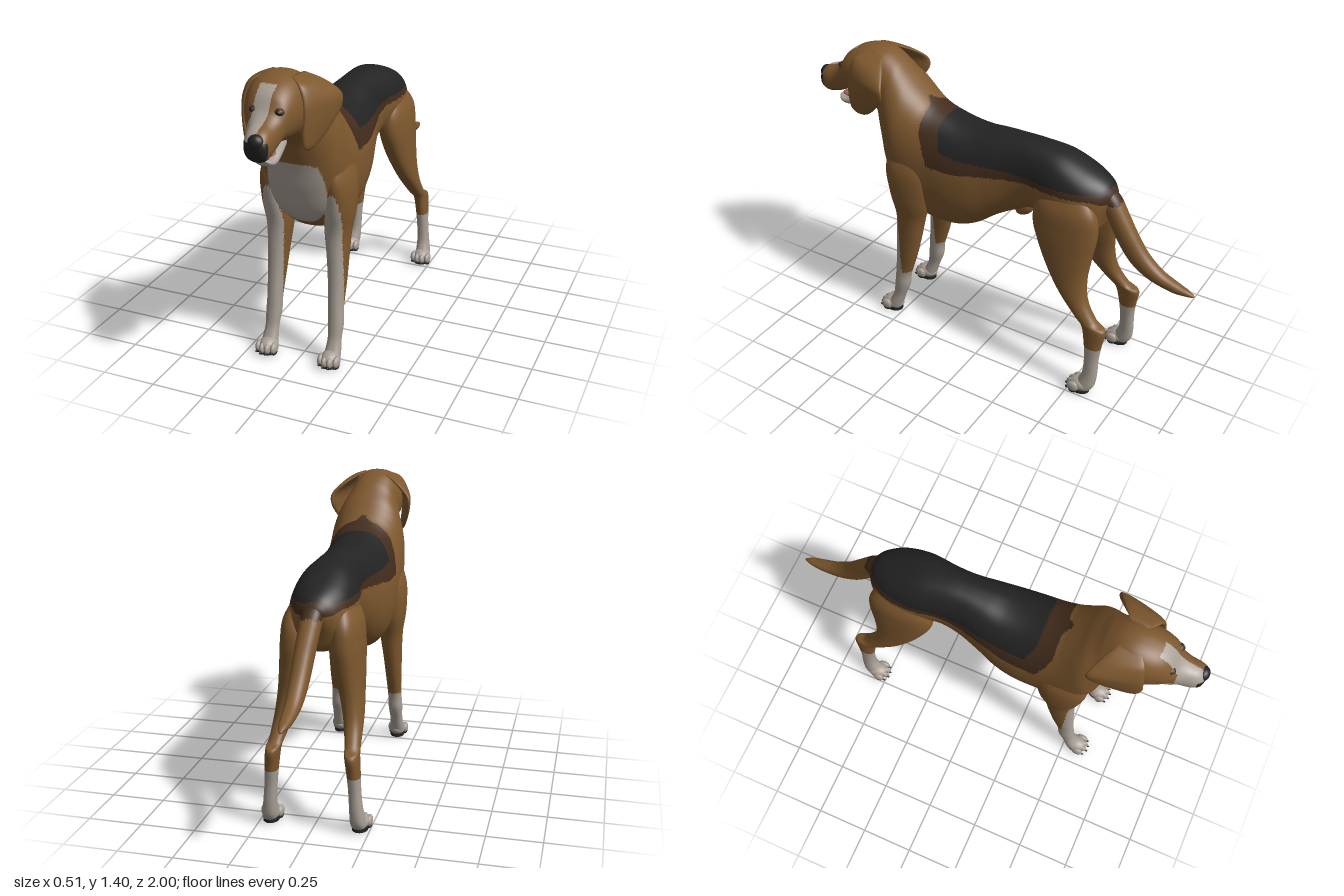
import * as THREE from 'three';

const mat = (name, color) => {
  const m = new THREE.MeshStandardMaterial({ color, side: THREE.DoubleSide });
  m.name = name;
  return m;
};
const tan = mat('tan coat', 0x7e582e);
const white = mat('white fur', 0xa89f95);
const black = mat('black saddle', 0x232323);
const dark = mat('dark brown', 0x422c1d);
const pink = mat('tongue pink', 0xa8605c);
const PALETTE = [tan, white, black, dark];
const TAN = 0, WHITE = 1, BLACK = 2, DARK = 3;

// Smooth interpolation through a list of equally long rows
function spline(rows, t) {
  const n = rows.length - 1, f = t * n;
  const i = Math.min(Math.floor(f), n - 1), u = f - i;
  const at = k => rows[Math.max(0, Math.min(n, k))];
  const [a, b, c, d] = [at(i - 1), at(i), at(i + 1), at(i + 2)];
  return b.map((q, k) => q + 0.5 * u * (c[k] - a[k] + u * (2 * a[k] - 5 * q + 4 * c[k] - d[k]
    + u * (3 * (q - c[k]) + d[k] - a[k]))));
}

// Loft: each section is [z0, y0, z1, y1, halfWidth, x0, x1], two opposite edge points and a width.
// rule(x, y, z) gives the colour index of each face.
function loft(name, sections, rows, cols, rule, side = 1) {
  const full = sections.map(([z0, y0, z1, y1, w, x0 = 0, x1 = x0]) => [z0, y0, z1, y1, w, x0 * side, x1 * side]);
  const pos = [], bow = (v, e) => Math.sign(v) * Math.abs(v) ** e;
  for (let r = 0; r <= rows + 2; r++) {
    const t = Math.max(0, Math.min(1, (r - 1) / rows));
    const cap = r === 0 || r === rows + 2 ? 0 : 1;
    const [z0, y0, z1, y1, w, x0, x1] = spline(full, t);
    for (let c = 0; c < cols; c++) {
      const a = c / cols * Math.PI * 2;
      const s = cap * bow(Math.sin(a), 0.92) / 2, k = cap * Math.max(w, 0.001) * bow(Math.cos(a), 0.85);
      pos.push((x0 + x1) / 2 + (x0 - x1) * s + k, (y0 + y1) / 2 + (y0 - y1) * s, (z0 + z1) / 2 + (z0 - z1) * s);
    }
  }
  const P = i => new THREE.Vector3().fromArray(pos, i * 3);
  const faces = [];
  let volume = 0;
  for (let r = 0; r < rows + 2; r++) for (let c = 0; c < cols; c++) {
    const a = r * cols + c, b = r * cols + (c + 1) % cols;
    const tris = [];
    if (r > 0) tris.push([a, b, b + cols]);
    if (r < rows + 1) tris.push([a, b + cols, a + cols]);
    for (const f of tris) {
      const [p, q, s] = f.map(P);
      volume += p.dot(q.clone().cross(s));
      const m = p.add(q).add(s).divideScalar(3);
      faces.push([rule(m.x, m.y, m.z), f]);
    }
  }
  const geo = new THREE.BufferGeometry();
  geo.setAttribute('position', new THREE.Float32BufferAttribute(pos, 3));
  const index = [];
  PALETTE.forEach((_, m) => {
    const start = index.length;
    for (const [k, f] of faces) if (k === m) index.push(...(volume < 0 ? [f[0], f[2], f[1]] : f));
    if (index.length > start) geo.addGroup(start, index.length - start, m);
  });
  geo.setIndex(index);
  geo.computeVertexNormals();
  const mesh = new THREE.Mesh(geo, PALETTE);
  mesh.name = name;
  return mesh;
}

function ball(name, material, x, y, z, rx, ry, rz) {
  const m = new THREE.Mesh(new THREE.SphereGeometry(1, 20, 14), material);
  m.position.set(x, y, z);
  m.scale.set(rx, ry, rz);
  m.name = name;
  return m;
}

// Rear edge of the white bib and leg fronts
const bibEdge = y => y > 0.64 ? 0.485 + (y - 0.64) * 0.31 : 0.475 + (y - 0.3) * 0.03;

function bodyColour(x, y, z) {
  // Face: nose end, lips and blaze
  if (z > 0.7 && y > 1.1) {
    if ((z > 0.962 && y < 1.2) || (z > 0.9 && y < 1.128)) return BLACK;
    if (z > 0.73 && y > 1.2 && Math.abs(x + 0.006) < 0.036 && y < 1.372) return WHITE;
    if (z > 0.87 && y > 1.14 && x < 0.0) return WHITE;
    return TAN;
  }
  // Chest bib
  if (z > bibEdge(y) && y > 0.64 && y < 0.97 - 0.07 * (x / 0.18) ** 4) return WHITE;
  // Saddle with a darker border
  const dip = Math.max(0, z - 0.15);
  if (z < 0.275 - Math.max(0, 1.12 - y) * 0.4 && z > -0.565 && y > 1.015 + dip * 0.1) return BLACK;
  const peak = Math.max(0, 0.04 - Math.abs(x)) * 0.9;
  const low = z > 0 ? 0.965 - 0.02 * Math.min(1, z / 0.2) : 0.965 + 0.02 * Math.min(1, -z / 0.2) - Math.max(0, -z - 0.5) * 0.3;
  if (z < 0.36 + peak - Math.max(0, 1.1 - y) * 0.4 && y > low) return DARK;
  return TAN;
}

const BODY = [
  [-0.59, 0.975, -0.56, 0.91, 0.03], [-0.575, 1.01, -0.545, 0.86, 0.065], [-0.535, 1.05, -0.52, 0.80, 0.105],
  [-0.45, 1.092, -0.45, 0.78, 0.14], [-0.33, 1.135, -0.33, 0.79, 0.145], [-0.2, 1.15, -0.2, 0.81, 0.125],
  [-0.1, 1.15, -0.1, 0.765, 0.128], [0, 1.143, 0, 0.705, 0.15], [0.1, 1.132, 0.1, 0.63, 0.175],
  [0.2, 1.14, 0.2, 0.59, 0.187], [0.3, 1.165, 0.32, 0.583, 0.188], [0.36, 1.19, 0.43, 0.612, 0.19],
  [0.4, 1.22, 0.53, 0.70, 0.19], [0.44, 1.255, 0.575, 0.82, 0.185], [0.47, 1.285, 0.597, 0.93, 0.17],
  [0.51, 1.32, 0.615, 1.0, 0.15], [0.55, 1.355, 0.64, 1.07, 0.13, -0.005], [0.61, 1.388, 0.69, 1.11, 0.125, -0.01],
  [0.68, 1.397, 0.73, 1.12, 0.128, -0.01], [0.76, 1.38, 0.77, 1.13, 0.118, -0.005], [0.82, 1.343, 0.82, 1.14, 0.098, 0.003],
  [0.86, 1.285, 0.85, 1.135, 0.078, 0.01], [0.9, 1.257, 0.89, 1.118, 0.066, 0.016], [0.95, 1.24, 0.94, 1.108, 0.058, 0.022],
  [0.98, 1.215, 0.972, 1.12, 0.046, 0.026], [0.99, 1.185, 0.982, 1.14, 0.025, 0.028],
];
const EAR = [
  [0.70, 1.385, 0.60, 1.38, 0.012, 0.06, 0.07], [0.735, 1.36, 0.56, 1.345, 0.022, 0.105, 0.13],
  [0.75, 1.30, 0.525, 1.29, 0.02, 0.13, 0.19], [0.758, 1.23, 0.525, 1.235, 0.018, 0.135, 0.195],
  [0.762, 1.16, 0.575, 1.17, 0.017, 0.13, 0.175], [0.75, 1.11, 0.63, 1.118, 0.014, 0.13, 0.15],
  [0.72, 1.09, 0.67, 1.095, 0.005, 0.132, 0.14],
];
const FRONT_LEG = [
  [0.52, 0.98, 0.37, 0.98, 0.025, 0.14], [0.545, 0.87, 0.31, 0.87, 0.058, 0.15], [0.528, 0.74, 0.32, 0.72, 0.064, 0.148],
  [0.505, 0.62, 0.355, 0.60, 0.056, 0.14], [0.508, 0.5, 0.38, 0.48, 0.046, 0.144], [0.515, 0.38, 0.41, 0.36, 0.039, 0.148],
  [0.525, 0.27, 0.445, 0.25, 0.034, 0.15], [0.533, 0.19, 0.455, 0.18, 0.035, 0.153], [0.543, 0.12, 0.482, 0.11, 0.031, 0.155],
  [0.565, 0.07, 0.503, 0.05, 0.036, 0.156], [0.59, 0.045, 0.513, 0.02, 0.038, 0.156],
];
const HIND_LEG = [
  [-0.31, 1.01, -0.47, 1.01, 0.03, 0.09], [-0.25, 0.92, -0.54, 0.92, 0.06, 0.108], [-0.238, 0.82, -0.555, 0.82, 0.072, 0.11],
  [-0.278, 0.71, -0.54, 0.70, 0.066, 0.122], [-0.338, 0.6, -0.53, 0.585, 0.053, 0.14], [-0.405, 0.51, -0.548, 0.48, 0.044, 0.156],
  [-0.488, 0.42, -0.605, 0.395, 0.035, 0.169], [-0.535, 0.37, -0.655, 0.365, 0.032, 0.176], [-0.555, 0.29, -0.645, 0.29, 0.03, 0.183],
  [-0.565, 0.2, -0.635, 0.2, 0.028, 0.189], [-0.563, 0.12, -0.634, 0.11, 0.03, 0.195], [-0.545, 0.07, -0.627, 0.05, 0.035, 0.2],
  [-0.53, 0.045, -0.61, 0.02, 0.037, 0.203],
];
const TAIL = [
  [-0.53, 1.035, -0.48, 0.95, 0.045, 0.0], [-0.60, 0.985, -0.535, 0.92, 0.048, 0.005], [-0.655, 0.905, -0.575, 0.855, 0.046, 0.012],
  [-0.70, 0.835, -0.625, 0.77, 0.044, 0.017], [-0.765, 0.745, -0.69, 0.69, 0.041, 0.02], [-0.84, 0.68, -0.78, 0.632, 0.036, 0.02],
  [-0.92, 0.645, -0.89, 0.602, 0.028, 0.02], [-0.97, 0.627, -0.955, 0.6, 0.018, 0.02], [-1, 0.61, -0.995, 0.602, 0.005, 0.02],
];
const JAW = [
  [0.72, 1.14, 0.72, 1.09, 0.04, 0], [0.79, 1.122, 0.79, 1.07, 0.05, 0.003], [0.85, 1.098, 0.84, 1.058, 0.047, 0.01],
  [0.885, 1.097, 0.88, 1.066, 0.036, 0.015], [0.9, 1.098, 0.895, 1.083, 0.014, 0.018],
];

// Paw with four toes, claws and a dark sole
function paw(name, x, zTip) {
  const g = new THREE.Group();
  g.name = name;
  g.add(ball('palm', white, x, 0.04, zTip - 0.075, 0.042, 0.034, 0.055));
  const sole = new THREE.Mesh(new THREE.CylinderGeometry(1, 1, 0.014, 24), black);
  sole.scale.set(0.036, 1, 0.046);
  sole.position.set(x, 0.007, zTip - 0.075);
  sole.name = 'sole';
  g.add(sole);
  for (const o of [-0.037, -0.0125, 0.0125, 0.037]) {
    const z = zTip - 0.034 - Math.abs(o) * 0.5;
    g.add(ball('toe', white, x + o, 0.034, z, 0.0155, 0.027, 0.031));
    g.add(ball('claw', black, x + o, 0.02, z + 0.028, 0.005, 0.007, 0.011));
    g.add(ball('toePad', black, x + o, 0.012, z, 0.012, 0.012, 0.022));
  }
  return g;
}

export function createModel() {
  const dog = new THREE.Group();
  dog.name = 'dog';
  dog.add(loft('bodyAndHead', BODY, 220, 120, bodyColour));
  dog.add(loft('tail', TAIL, 60, 28, (x, y, z) => z > -0.615 && y > 0.955 ? DARK : TAN));
  dog.add(loft('lowerJaw', JAW, 24, 24, () => WHITE));
  dog.add(ball('tongue', pink, 0.012, 1.106, 0.84, 0.03, 0.012, 0.05));
  dog.add(ball('nose', black, 0.03, 1.2, 0.97, 0.034, 0.032, 0.028));
  dog.add(ball('bellySheath', tan, 0, 0.762, -0.125, 0.022, 0.03, 0.055));
  dog.getObjectByName('bellySheath').rotation.x = 0.6;

  for (const s of [1, -1]) {
    const side = s > 0 ? 'left' : 'right';
    dog.add(loft(side + 'Ear', EAR, 36, 36, () => TAN, s));
    dog.add(loft(side + 'FrontLeg', FRONT_LEG, 90, 44, (x, y, z) =>
      y < 0.27 || (z > bibEdge(y) && y < 0.93) ? WHITE : TAN, s));
    dog.add(loft(side + 'HindLeg', HIND_LEG, 90, 40, (x, y) => y < 0.27 ? WHITE : TAN, s));
    dog.add(paw(side + 'FrontPaw', 0.154 * s, 0.632));
    dog.add(paw(side + 'HindPaw', 0.204 * s, -0.482));
    // Eye with a dark rim
    const ex = 0.012 + 0.054 * s;
    dog.add(ball(side + 'EyeRim', dark, ex, 1.283, 0.838, 0.021, 0.016, 0.018));
    dog.add(ball(side + 'Eye', black, ex + 0.003 * s, 1.283, 0.845, 0.012, 0.011, 0.014));
  }
  return dog;
}
